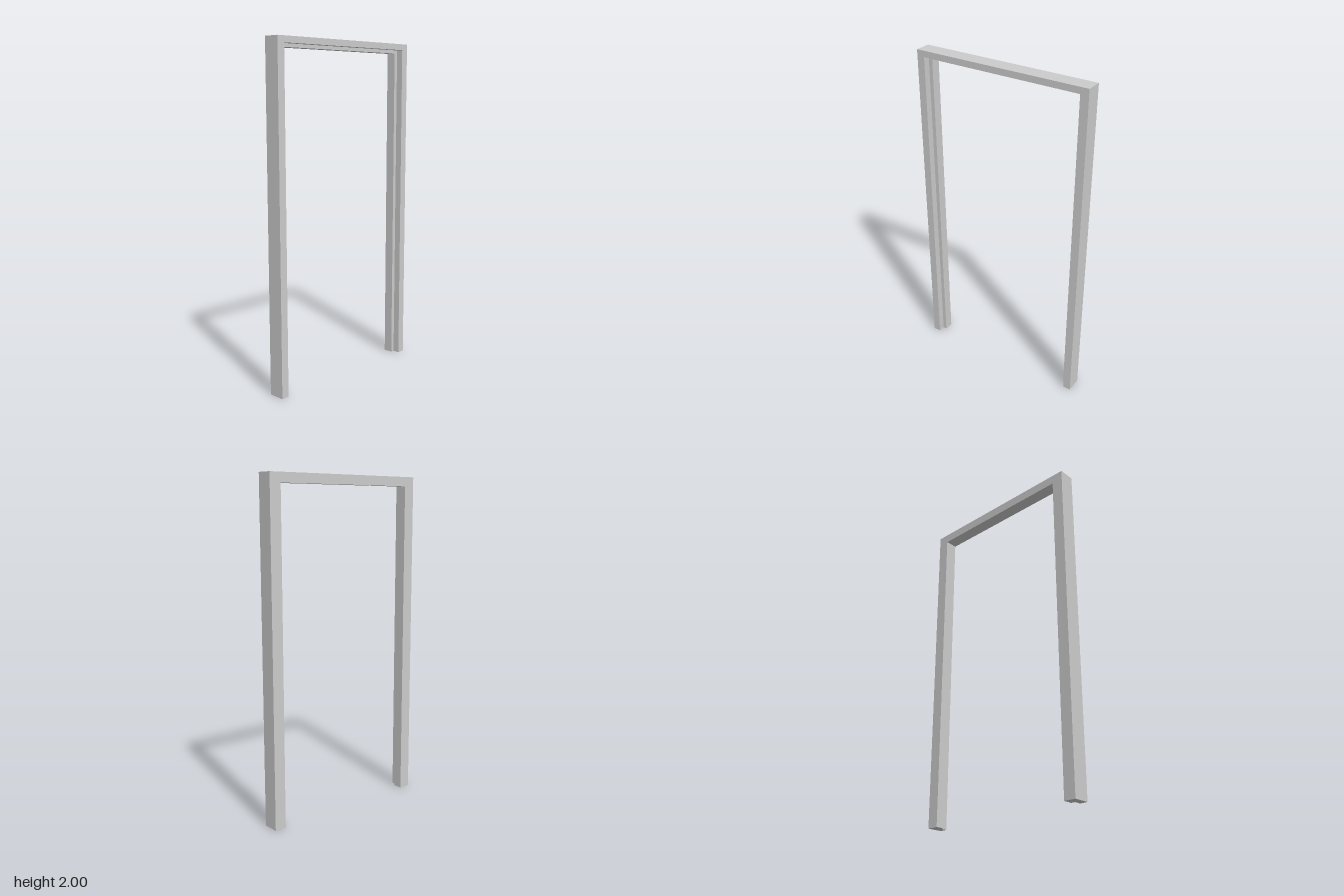
import * as THREE from 'three';

const HALF_WIDTH = 0.541, HEIGHT = 2, HALF_DEPTH = 0.049, STOP_Z = 0.008;

// Rebated section: [inset on the jambs, inset on the header, z]
const section = [
  [0, 0, -HALF_DEPTH],
  [0, 0, HALF_DEPTH],
  [0.047, 0.036, HALF_DEPTH],
  [0.047, 0.036, STOP_Z],
  [0.071, 0.056, STOP_Z],
  [0.071, 0.056, -HALF_DEPTH],
];

// Stations along the frame: foot, mitred corner, mitred corner, foot
const stations = [[-1, false], [-1, true], [1, true], [1, false]];

function frameGeometry() {
  const rings = stations.map(([side, top]) =>
    section.map(([jamb, head, z]) => [side * (HALF_WIDTH - jamb), top ? HEIGHT - head : 0, z]));
  const positions = [];
  const quad = (a, b, c, d) => positions.push(...a, ...b, ...c, ...a, ...c, ...d);

  // Sides of the jambs and header
  for (let i = 0; i < rings.length - 1; i++) {
    const p = rings[i], q = rings[i + 1];
    for (let k = 0; k < section.length; k++) {
      const n = (k + 1) % section.length;
      quad(p[k], p[n], q[n], q[k]);
    }
  }

  // Undersides of the two feet
  const [first, last] = [rings[0], rings[3]];
  for (const [a, b, c, d] of [[0, 1, 2, 3], [0, 3, 4, 5]]) {
    quad(first[d], first[c], first[b], first[a]);
    quad(last[a], last[b], last[c], last[d]);
  }

  const geometry = new THREE.BufferGeometry();
  geometry.setAttribute('position', new THREE.Float32BufferAttribute(positions, 3));
  geometry.computeVertexNormals();
  return geometry;
}

export function createModel() {
  const group = new THREE.Group();
  group.name = 'doorway';
  const frame = new THREE.Mesh(
    frameGeometry(),
    new THREE.MeshStandardMaterial({ color: 0xcccccc, flatShading: true }));
  frame.name = 'doorFrame';
  group.add(frame);
  return group;
}
